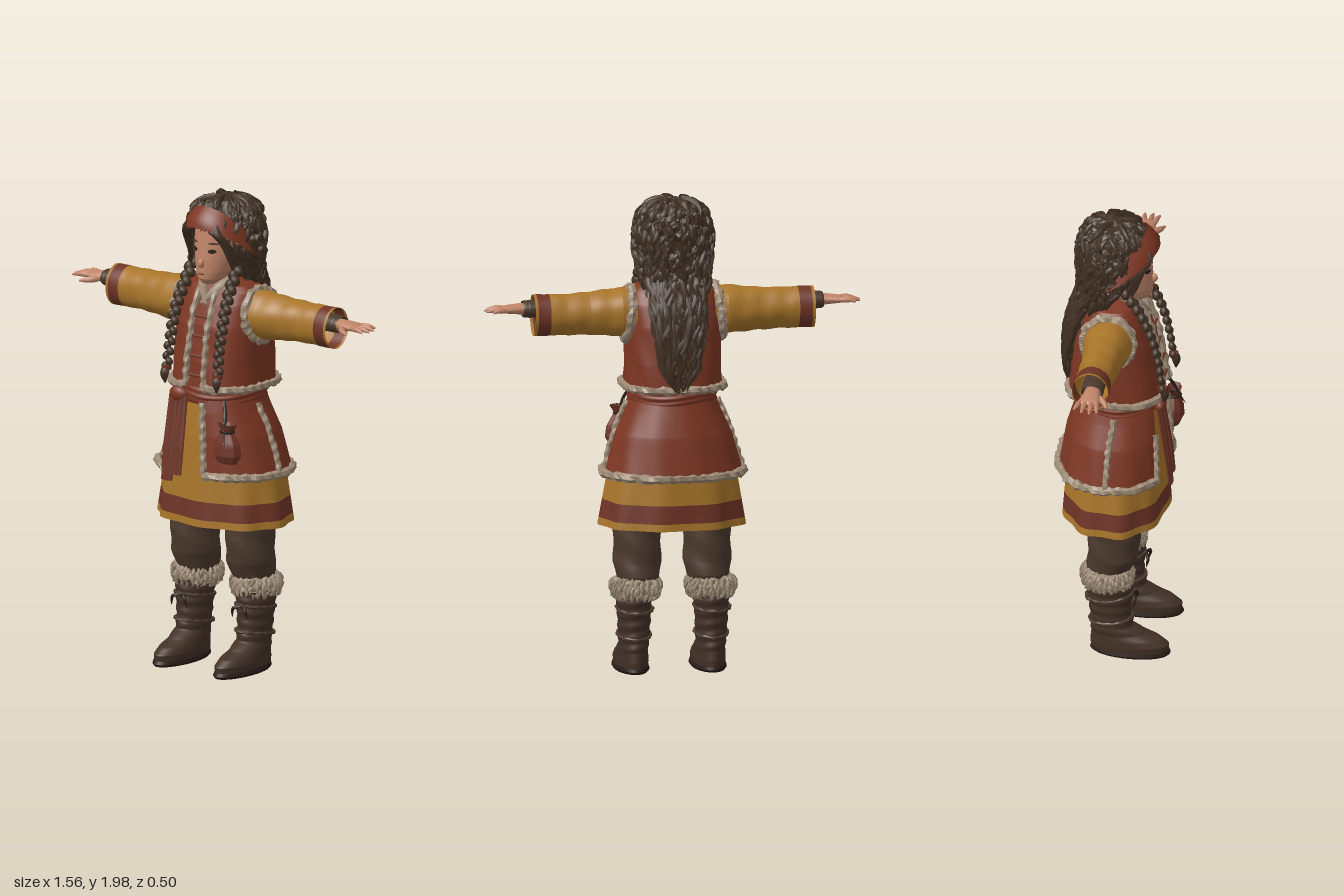
import * as THREE from 'three';
import { mergeGeometries, mergeVertices } from 'three/addons/utils/BufferGeometryUtils.js';

const V = (x, y, z) => new THREE.Vector3(x, y, z);
const TAU = Math.PI * 2;
const mat = (name, color, double) => {
  const m = new THREE.MeshStandardMaterial({ color });
  m.name = name;
  if (double) m.side = THREE.DoubleSide;
  return m;
};

let seed = 7;
const rnd = () => (seed = (seed * 16807) % 2147483647) / 2147483647;
const spread = (w) => (rnd() - 0.5) * 2 * w;

// Grid of points fn(u, v), welded along closed seams
function grid(fn, us, vs) {
  const pos = [], idx = [], w = us.length;
  for (const v of vs) for (const u of us) pos.push(...fn(u, v).toArray());
  for (let j = 0; j < vs.length - 1; j++) for (let i = 0; i < w - 1; i++) {
    const a = j * w + i, b = a + 1, c = a + w, d = c + 1;
    idx.push(a, b, d, a, d, c);
  }
  let g = new THREE.BufferGeometry();
  g.setAttribute('position', new THREE.Float32BufferAttribute(pos, 3));
  g.setIndex(idx);
  g = mergeVertices(g, 1e-5);
  g.computeVertexNormals();
  return g;
}
const steps = (a, b, n) => Array.from({ length: n + 1 }, (_, i) => a + (b - a) * i / n);

// Profile rows are [y, centreZ, radiusX, radiusZ]; angle 0 faces the front
function surf(prof, a, y, off = 0) {
  const r = prof.rows;
  let i = 0;
  while (i < r.length - 2 && y > r[i + 1][0]) i++;
  const t = Math.min(1, Math.max(0, (y - r[i][0]) / (r[i + 1][0] - r[i][0])));
  const [cz, rx, rz] = [1, 2, 3].map((k) => r[i][k] + (r[i + 1][k] - r[i][k]) * t);
  const f = 1 + (prof.fold ? prof.fold(a, y) : 0), p = prof.p || 1;
  const pw = (q) => Math.sign(q) * Math.abs(q) ** p;
  return V((rx * f + off) * pw(Math.sin(a)), y, cz + (rz * f + off) * pw(Math.cos(a)));
}
function loft(prof, o = {}) {
  const r = prof.rows, { y0 = r[0][0], y1 = r[r.length - 1][0], a0 = 0, a1 = TAU, nu = 40, nv = 12, off = 0 } = o;
  const ys = [...new Set([...steps(y0, y1, nv), ...r.map((q) => q[0]).filter((y) => y > y0 && y < y1)])].sort((a, b) => a - b);
  return grid((a, y) => surf(prof, a, y, off), steps(a0, a1, nu), ys);
}
// Shaggy, faceted surface
function rough(g, amp) {
  const p = g.attributes.position, n = g.attributes.normal;
  for (let i = 0; i < p.count; i++) {
    const x = p.getX(i), y = p.getY(i), z = p.getZ(i);
    const d = amp * (Math.sin(x * 131 + y * 97) + Math.sin(y * 153 + z * 141 + 1) + Math.sin(z * 127 - x * 109 + 2)) / 2;
    p.setXYZ(i, x + n.getX(i) * d, y + n.getY(i) * d, z + n.getZ(i) * d);
  }
  const out = g.index ? g.toNonIndexed() : g;
  out.computeVertexNormals();
  return out;
}
const trim = (pts, r, closed = false) =>
  rough(new THREE.TubeGeometry(new THREE.CatmullRomCurve3(pts, closed), 70, r, 7, closed), r * 0.3);
// Tapering strand
function lock(pts, r, n = 9, sides = 5, tip = 0.1) {
  const c = new THREE.CatmullRomCurve3(pts), g = new THREE.TubeGeometry(c, n, r, sides), p = g.attributes.position;
  for (let i = 0; i <= n; i++) {
    const o = c.getPointAt(i / n), k = tip + (1 - tip) * Math.sin(Math.PI * (0.25 + 0.75 * i / n));
    for (let j = 0; j <= sides; j++) {
      const q = i * (sides + 1) + j, v = V().fromBufferAttribute(p, q).sub(o).multiplyScalar(k).add(o);
      p.setXYZ(q, v.x, v.y, v.z);
    }
  }
  g.computeVertexNormals();
  return g;
}
const ball = (x, y, z, rx, ry, rz, n = 12) => new THREE.SphereGeometry(1, n, n * 0.75).scale(rx, ry, rz).translate(x, y, z);

export function createModel() {
  const root = new THREE.Group();
  const red = mat('russet cloth', 0x7c3622, true), ochre = mat('ochre cloth', 0xa8752a, true), stripe = mat('stripe red', 0x6e3426, true);
  const fur = mat('pale fur', 0x9c8974), hair = mat('dark brown hair', 0x423124, true), skin = mat('skin', 0xc08468);
  const trouser = mat('brown trousers', 0x4b392d, true), leather = mat('boot leather', 0x433126, true), dark = mat('dark detail', 0x2a1d18, true);
  const add = (name, g, m, x = 0, y = 0, z = 0) => {
    const o = new THREE.Mesh(g, m);
    o.name = name;
    o.position.set(x, y, z);
    root.add(o);
    return o;
  };

  // Tunic skirt with a striped hem
  const tunic = {
    rows: [[0.62, -0.005, 0.3, 0.215], [0.85, -0.005, 0.262, 0.2], [1.0, 0.005, 0.215, 0.185], [1.18, 0.015, 0.15, 0.155]], p: 0.92,
    fold: (a, y) => 0.03 * Math.sin(a * 9 + 0.6) * Math.max(0, (1.05 - y) / 0.43),
  };
  const wide = { nu: 90 };
  add('tunicHem', loft(tunic, { ...wide, y1: 0.65, nv: 2 }), ochre);
  add('tunicStripe', loft(tunic, { ...wide, y0: 0.65, y1: 0.725, nv: 3 }), stripe);
  add('tunicSkirt', loft(tunic, { ...wide, y0: 0.725 }), ochre);

  // Flared coat skirt, open at the front, with fur edges
  const coat = {
    rows: [[0.835, -0.01, 0.285, 0.225], [1.0, 0, 0.24, 0.208], [1.1, 0.01, 0.195, 0.188], [1.18, 0.015, 0.165, 0.168]], p: 0.92,
    fold: (a, y) => 0.012 * Math.sin(a * 11 + y * 9) * (1.2 - y) / 0.35,
  };
  const cA = 0.2, cB = TAU - 0.58;
  add('coatSkirt', loft(coat, { a0: cA, a1: cB, nu: 80 }), red);
  add('coatHemFur', trim(steps(cA, cB, 40).map((a) => surf(coat, a, 0.84, 0.004)), 0.018), fur);
  for (const [a, top] of [[cA, 1.14], [cB, 1.04], [Math.PI / 2, 1.13], [-Math.PI / 2, 1.13]])
    add('coatEdgeFur', trim(steps(0.84, top, 8).map((y) => surf(coat, a, y, 0.004)), 0.013), fur);

  // Belt, knot and hanging sash
  const belt = { rows: [[1.13, 0.01, 0.182, 0.18], [1.16, 0.01, 0.184, 0.186], [1.2, 0.01, 0.18, 0.182]], fold: (a, y) => 0.015 * Math.sin(y * 260 + Math.sin(a * 3) * 2) };
  add('belt', loft(belt, { nv: 14 }), red);
  add('sashKnot', ball(-0.085, 1.16, 0.19, 0.045, 0.033, 0.025), red);
  for (const [x, end, w] of [[-0.108, 0.8, 0.026], [-0.06, 0.83, 0.024]]) {
    const tail = { rows: [[end, 0.238, w, 0.008], [end + 0.12, 0.225, w * 1.1, 0.01], [1.16, 0.19, w * 0.8, 0.012]], fold: (a) => 0.18 * Math.sin(a * 7) };
    add('sashTail', loft(tail, { nu: 30 }), stripe, x);
  }

  // Drawstring pouch
  const pouch = {
    rows: [[0.905, 0, 0.005, 0.004], [0.912, 0, 0.045, 0.025], [0.945, 0, 0.064, 0.04], [0.99, 0, 0.058, 0.038], [1.03, 0, 0.035, 0.025], [1.045, 0, 0.026, 0.02], [1.075, 0, 0.045, 0.03]],
    fold: (a) => 0.05 * Math.sin(a * 8),
  };
  add('pouch', loft(pouch), stripe, 0.18, 0, 0.2);
  add('pouchCord', new THREE.TorusGeometry(0.026, 0.006, 6, 20).rotateX(Math.PI / 2), dark, 0.18, 1.042, 0.2);
  add('pouchStrap', lock([V(0.14, 1.16, 0.17), V(0.17, 1.1, 0.2), V(0.18, 1.04, 0.225), V(0.2, 0.99, 0.245)], 0.007), dark);

  // Sleeveless vest over a shirt
  const vest = {
    rows: [[1.195, 0, 0.2, 0.195], [1.3, -0.003, 0.195, 0.187], [1.45, -0.005, 0.193, 0.165], [1.54, -0.005, 0.19, 0.135], [1.59, -0.005, 0.18, 0.108], [1.615, -0.005, 0.15, 0.09], [1.635, -0.005, 0.07, 0.065]], p: 0.78,
    fold: (a, y) => 0.01 * Math.sin(a * 8 + y * 30),
  };
  const vA = 0.15;
  add('shirt', loft(vest, { off: -0.012 }), red);
  add('vest', loft(vest, { a0: vA, a1: TAU - vA, nu: 80, nv: 20 }), red);
  add('vestHemFur', trim(steps(vA, TAU - vA, 40).map((a) => surf(vest, a, 1.2, 0.003)), 0.017), fur);
  for (const s of [1, -1])
    add('vestFrontFur', trim(steps(1.2, 1.625, 14).map((y) => surf(vest, s * vA, y, 0.003)), 0.013), fur);
  for (const y of [1.25, 1.33, 1.41, 1.49])
    add('vestTie', new THREE.CapsuleGeometry(0.006, 0.06, 3, 8).rotateZ(Math.PI / 2), stripe, 0.005, y, surf(vest, 0, y).z + 0.004);
  for (const s of [1, -1])
    add('collar', lock([V(s * 0.065, 1.645, 0.02), V(s * 0.045, 1.61, 0.085), V(-s * 0.012, 1.54, 0.135)], 0.02, 9, 6, 0.3), fur);

  // Neck, head and face
  add('neck', new THREE.CylinderGeometry(0.045, 0.052, 0.12, 20), skin, 0, 1.625, 0.01);
  const head = { rows: [[1.615, 0.09, 0.008, 0.01], [1.622, 0.09, 0.03, 0.035], [1.645, 0.072, 0.056, 0.07], [1.675, 0.052, 0.074, 0.093], [1.72, 0.03, 0.09, 0.115], [1.78, 0.012, 0.102, 0.128], [1.86, 0, 0.11, 0.132], [1.93, -0.01, 0.09, 0.1], [1.965, -0.01, 0.02, 0.02]] };
  add('head', loft(head), skin);
  add('nose', ball(0, 1.712, 0.147, 0.013, 0.02, 0.017), skin);
  const patch = (name, x, y, w, h, m, off) => {
    const g = grid((u, v) => surf(head, (x + u * w * Math.sqrt(1 - v * v * 0.98)) / 0.1, y + v * h, off), steps(-1, 1, 8), steps(-1, 1, 6));
    add(name, g, m);
  };
  for (const s of [1, -1]) {
    patch('eye', s * 0.044, 1.765, 0.017, 0.009, dark, 0.003);
    patch('eyebrow', s * 0.046, 1.797, 0.022, 0.004, hair, 0.003);
    add('ear', ball(s * 0.1, 1.745, 0, 0.012, 0.03, 0.02), skin);
  }
  patch('mouth', 0, 1.667, 0.022, 0.003, stripe, 0.004);

  // Bushy hair cap with curly locks
  const cap = { rows: [[1.58, -0.085, 0.11, 0.06], [1.68, -0.045, 0.135, 0.105], [1.76, -0.015, 0.146, 0.137], [1.86, -0.01, 0.146, 0.146], [1.92, -0.015, 0.124, 0.122], [1.96, -0.018, 0.078, 0.078], [1.978, -0.02, 0.003, 0.003]] };
  const faceGap = 0.85;
  add('hairBack', rough(loft(cap, { y1: 1.87, a0: faceGap, a1: TAU - faceGap, nu: 60, nv: 24 }), 0.008), hair);
  add('hairTop', rough(loft(cap, { y0: 1.865, nu: 60, nv: 14 }), 0.007), hair);
  const curls = [];
  for (let i = 0; i < 330; i++) {
    const y = 1.66 + rnd() * 0.315, gap = y < 1.9 ? faceGap + 0.12 : 0;
    let a = gap + rnd() * (TAU - 2 * gap);
    const drop = Math.min(0.06 + rnd() * 0.06, y > 1.9 ? 0.06 : 1), pts = [];
    for (let k = 0; k < 5; k++) {
      const yy = Math.max(1.56, y - drop * k / 4);
      pts.push(surf(cap, a, yy - k * 0.001, 0.004 + rnd() * 0.015));
      a += spread(0.13);
    }
    curls.push(lock(pts, 0.008 + rnd() * 0.006, 8, 5));
  }
  for (const s of [1, -1]) for (let i = 0; i < 9; i++) {
    const t = i / 8, x = 0.006 + t * 0.05;
    curls.push(lock([V(s * x, 1.9, 0.13 - t * 0.01), V(s * (x + 0.03), 1.865 - t * 0.01, 0.146), V(s * (0.085 + t * 0.02), 1.81, 0.12), V(s * (0.105 + t * 0.02), 1.74 - rnd() * 0.05, 0.085 - t * 0.03), V(s * 0.115, 1.66 - rnd() * 0.03, 0.06)], 0.013, 10));
  }
  add('hairCurls', mergeGeometries(curls), hair);

  // Long hair down the back
  const mane = { rows: [[1.2, -0.195, 0.012, 0.006], [1.26, -0.19, 0.065, 0.02], [1.4, -0.18, 0.09, 0.03], [1.52, -0.15, 0.105, 0.045], [1.64, -0.095, 0.11, 0.06], [1.72, -0.06, 0.1, 0.06]] };
  add('longHair', rough(loft(mane, { nu: 32, nv: 24 }), 0.008), hair);
  const strands = [];
  for (let i = 0; i < 75; i++) {
    const a = Math.PI + spread(1.35), y = 1.72 - rnd() * 0.22, len = 0.2 + rnd() * 0.3, pts = [];
    for (let k = 0; k < 8; k++) {
      const yy = Math.max(1.2, y - len * k / 7);
      pts.push(surf(mane, a + spread(0.22), yy - k * 0.0015, 0.002 + rnd() * 0.012));
    }
    strands.push(lock(pts, 0.011 + rnd() * 0.006, 16));
  }
  add('longHairLocks', mergeGeometries(strands), hair);

  // Front braids with ties
  for (const s of [1, -1]) {
    const path = new THREE.CatmullRomCurve3([V(s * 0.115, 1.7, 0.05), V(s * 0.12, 1.6, 0.115), V(s * 0.128, 1.5, 0.16), V(s * 0.13, 1.38, 0.19), V(s * 0.135, 1.27, 0.205)]);
    const beads = steps(0, 1, 22).map((t, i) => {
      const p = path.getPointAt(t), w = 0.026 - 0.008 * t;
      return new THREE.SphereGeometry(w, 9, 7).scale(0.85, 1, 0.75).rotateZ(i % 2 ? 0.6 : -0.6).translate(p.x + (i % 2 ? 0.01 : -0.01), p.y, p.z);
    });
    beads.push(lock([V(s * 0.135, 1.27, 0.205), V(s * 0.137, 1.24, 0.215), V(s * 0.135, 1.2, 0.215)], 0.02));
    add('braid', mergeGeometries(beads.map((g) => g.toNonIndexed())), hair);
    add('braidTie', new THREE.CylinderGeometry(0.02, 0.02, 0.018, 12), stripe, s * 0.135, 1.265, 0.206);
  }

  // Headband rising over the forehead
  add('headband', grid((a, v) => {
    const y = 1.905 - 0.125 * (1 - Math.cos(a)), h = 0.042 * (1 - 0.2 * Math.abs(a) / 1.75), c = Math.cos(a);
    return V((0.158 - 0.012 * v) * Math.sin(a), y + v * h, -0.008 + (0.15 - 0.027 * v - 0.012 * v * v) * c + 0.015);
  }, steps(-1.75, 1.75, 40), steps(-1, 1, 6)), red);

  for (const s of [1, -1]) {
    // Sleeve, cuff and hand, lofted along the arm
    const arm = (name, prof, m, y, o) => { add(name, loft(prof, o), m, 0, y).rotation.z = -s * Math.PI / 2; };
    const sleeve = {
      rows: [[0.16, -0.008, 0.1, 0.1], [0.22, -0.008, 0.1, 0.1], [0.35, -0.01, 0.088, 0.08], [0.45, -0.014, 0.084, 0.074], [0.58, -0.017, 0.086, 0.075]],
      fold: (a, y) => 0.035 * Math.sin(a * 3 + y * 42) * Math.sin(a * 2 - y * 27) * (y < 0.5 ? 1 : 0.3),
    };
    arm('sleeve', sleeve, ochre, 1.5, { y1: 0.515, nv: 30 });
    arm('sleeveStripe', sleeve, stripe, 1.5, { y0: 0.515, y1: 0.568, nv: 3 });
    arm('sleeveHem', sleeve, ochre, 1.5, { y0: 0.568, nv: 2 });
    arm('wristWrap', { rows: [[0.4, -0.005, 0.04, 0.042], [0.6, -0.003, 0.036, 0.046], [0.622, -0.002, 0.033, 0.044]], fold: (a, y) => 0.03 * Math.sin(y * 300) }, trouser, 1.525, { nv: 24 });
    arm('palm', { rows: [[0.6, -0.002, 0.022, 0.03], [0.64, 0, 0.022, 0.036], [0.69, -0.004, 0.016, 0.043], [0.71, -0.006, 0.01, 0.04], [0.715, -0.006, 0.001, 0.01]] }, skin, 1.526);
    [[-0.037, -0.057, 0.752], [-0.015, -0.022, 0.774], [0.008, 0.012, 0.778], [0.028, 0.042, 0.766]].forEach(([z0, z1, x]) =>
      add('finger', lock([V(s * 0.69, 1.526, z0), V(s * 0.73, 1.527, (z0 + z1) / 2), V(s * x, 1.52, z1)], 0.0115, 8, 8, 0.3), skin));
    add('thumb', lock([V(s * 0.635, 1.522, 0.02), V(s * 0.665, 1.516, 0.052), V(s * 0.705, 1.51, 0.073)], 0.014, 8, 8, 0.3), skin);
    // Fur round the armhole
    add('armholeFur', trim(steps(0, TAU, 20).slice(0, 20).map((t) => V(s * (0.188 - 0.012 * Math.sin(t)), 1.497 + 0.106 * Math.sin(t), -0.01 + 0.104 * Math.cos(t))), 0.018, true), fur);

    // Trouser leg
    const leg = { rows: [[0.34, -0.02, 0.07, 0.075], [0.41, -0.01, 0.09, 0.095], [0.46, 0.005, 0.098, 0.105], [0.56, 0.01, 0.097, 0.107], [0.8, 0.008, 0.1, 0.11]], fold: (a, y) => 0.025 * Math.sin(a * 2 + y * 50) };
    add('trouserLeg', loft(leg, { nv: 26 }), trouser, s * 0.145);

    // Shaggy boot top
    const cuff = { rows: [[0.315, -0.018, 0.06, 0.07], [0.325, -0.018, 0.088, 0.092], [0.365, -0.018, 0.096, 0.1], [0.395, -0.018, 0.092, 0.095], [0.408, -0.015, 0.06, 0.07]] };
    add('bootFur', rough(loft(cuff, { nu: 44 }), 0.006), fur, s * 0.155);
    const tufts = steps(0, TAU * 4, 100).map((a, i) => {
      const y = 0.4 - (i % 4) * 0.018 + spread(0.008);
      return lock([surf(cuff, a, y, -0.003), surf(cuff, a + spread(0.08), y - 0.02, 0.011), surf(cuff, a + spread(0.15), y - 0.045, 0.012)].map((p, k) => p.setY(y - k * 0.02)), 0.008, 4, 4);
    });
    add('bootFurTufts', mergeGeometries(tufts), fur, s * 0.155);

    // Boot with a soft wrinkled shaft, sole and ties
    const boot = {
      rows: [[0.018, 0.075, 0.066, 0.16], [0.05, 0.075, 0.069, 0.163], [0.075, 0.06, 0.066, 0.145], [0.1, 0.028, 0.062, 0.112], [0.13, 0.003, 0.062, 0.088], [0.2, -0.005, 0.066, 0.085], [0.34, -0.012, 0.074, 0.098]],
      fold: (a, y) => (y > 0.09 ? 0.03 : 0) * Math.sin(y * 130 + 1.2 * Math.sin(a)),
    };
    add('boot', loft(boot, { nv: 44 }), leather, s * 0.16);
    add('sole', loft({ rows: [[0, 0.08, 0.002, 0.005], [0.002, 0.08, 0.064, 0.16], [0.012, 0.078, 0.071, 0.17], [0.026, 0.077, 0.067, 0.165]], fold: (a) => -0.03 * Math.cos(a * 2) + 0.01 }, { nv: 4 }), dark, s * 0.16);
    for (const y of [0.16, 0.27])
      add('bootStrap', trim(steps(0, TAU, 16).slice(0, 16).map((a) => surf(boot, a, y + 0.012 * Math.cos(a), 0.003)), 0.007, true), trouser, s * 0.16);
    for (const k of [-1, 1])
      add('bootTie', lock([V(s * 0.16, 0.28, 0.085), V(s * 0.16 + k * 0.03, 0.27, 0.1), V(s * 0.16 + k * 0.04, 0.23, 0.095)], 0.008), dark);
  }
  return root;
}
